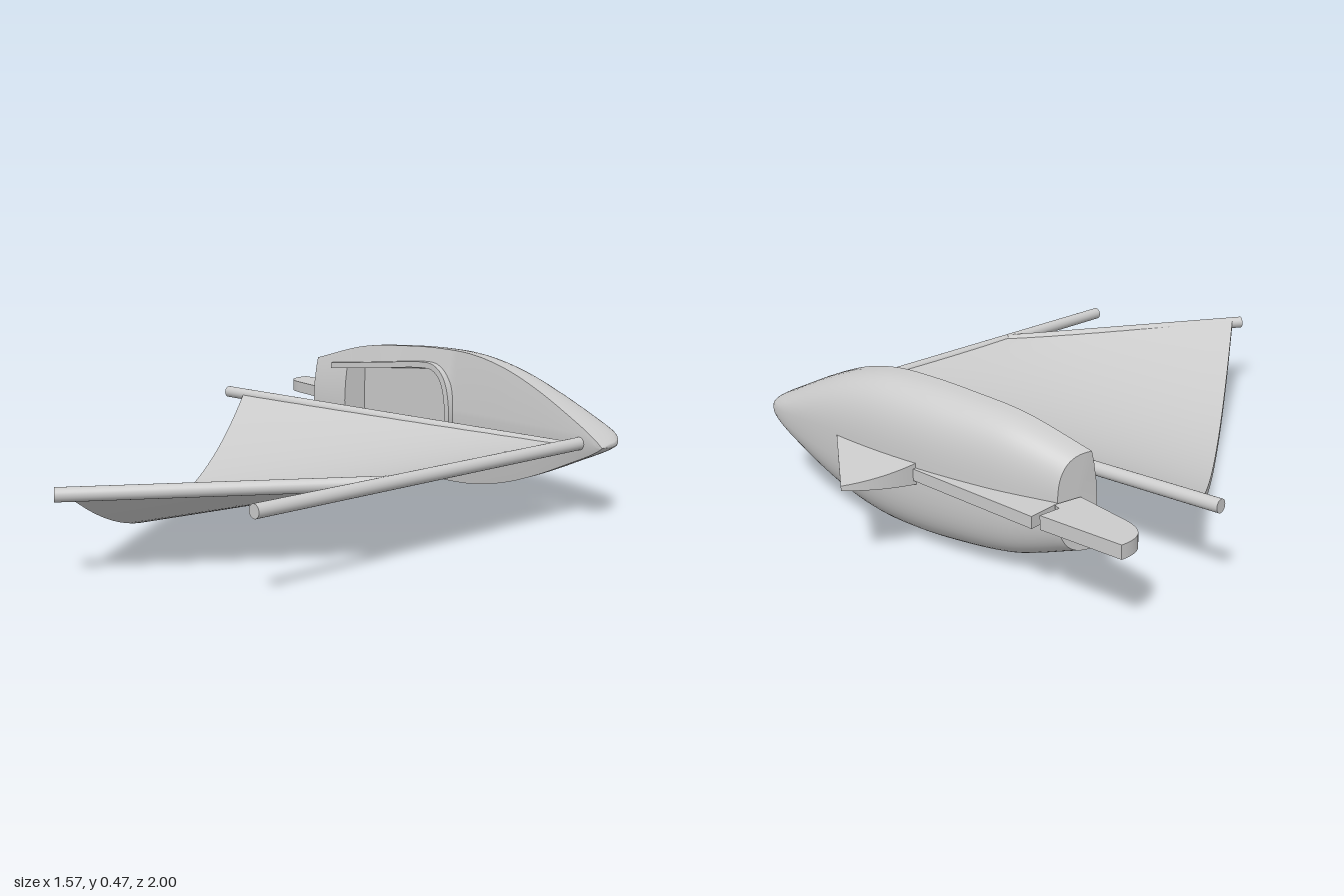
import * as THREE from 'three';
import { toCreasedNormals } from 'three/addons/utils/BufferGeometryUtils.js';

// The boat lies on its side: bow to +x, masthead to +z, centre plane at y = MID.
const MID = 0.243;
const material = new THREE.MeshStandardMaterial({ color: 0xcccccc });
const thin = new THREE.MeshStandardMaterial({ color: 0xcccccc, side: THREE.DoubleSide });

// Smooth lookup table: keys are [x, value...], sampled through a spline
function profile(keys) {
  const pts = new THREE.CatmullRomCurve3(keys.map(([x, a, b = 0]) => new THREE.Vector3(x, a, b)), false, 'centripetal').getPoints(240);
  return x => {
    let i = 1;
    while (i < pts.length - 1 && pts[i].x < x) i++;
    const p = pts[i - 1], q = pts[i];
    const t = THREE.MathUtils.clamp((x - p.x) / (q.x - p.x || 1), 0, 1);
    return p.clone().lerp(q, t);
  };
}

// Closed solid through rings of [x, y, z] points
function loft(rings, crease = 0.6) {
  const n = rings[0].length, last = rings.length - 1;
  const pos = rings.flat(2), index = [];
  for (let i = 0; i < last; i++) for (let j = 0; j < n; j++) {
    const a = i * n + j, b = i * n + (j + 1) % n;
    index.push(a, a + n, b, a + n, b + n, b);
  }
  for (const k of [0, last]) {
    const c = pos.length / 3;
    for (let d = 0; d < 3; d++) pos.push(rings[k].reduce((s, p) => s + p[d], 0) / n);
    for (let j = 0; j < n; j++) {
      const a = k * n + j, b = k * n + (j + 1) % n;
      index.push(c, ...(k ? [b, a] : [a, b]));
    }
  }
  const g = new THREE.BufferGeometry();
  g.setAttribute('position', new THREE.Float32BufferAttribute(pos, 3));
  g.setIndex(index);
  return toCreasedNormals(g, crease);
}

// Hull lines: half breadth and bottom, sheer height, cambered deck
const lines = profile([[-0.51, 0.14, -0.70], [-0.3, 0.2, -0.752], [-0.1, 0.22, -0.787], [0.05, 0.226, -0.802],
  [0.2, 0.22, -0.808], [0.35, 0.19, -0.806], [0.5, 0.137, -0.795], [0.65, 0.07, -0.772], [0.72, 0.038, -0.742],
  [0.765, 0.014, -0.68], [0.785, 0, -0.58]]);
const sheer = profile([[-0.51, -0.595], [-0.3, -0.622], [0.1, -0.645], [0.4, -0.632], [0.65, -0.605], [0.785, -0.58]]);
const deckZ = (x, y) => {
  const b = lines(x).y;
  return sheer(x).y + 0.136 * b * (1 - Math.min(1, (y / (b || 1)) ** 2));
};
// Cockpit half width along x
const cockpit = profile([[-0.42, 0.115], [0, 0.158], [0.05, 0.152], [0.09, 0.125], [0.115, 0.085], [0.13, 0.03]]);
const AFT = -0.36, FORE = 0.13, FLOOR = -0.69;

function hullRing(x, open) {
  const { y: b, z: zb } = lines(x), zs = sheer(x).y, ring = [];
  const rake = 0.025 * THREE.MathUtils.clamp((-0.3 - x) / 0.21, 0, 1);
  for (let j = 0; j <= 28; j++) {
    const a = Math.PI * j / 28, c = Math.cos(a);
    const s = Math.pow(Math.max(0, Math.sin(a)), 0.72);
    ring.push([x + rake * s, MID + b * Math.sign(c) * Math.pow(Math.abs(c), 0.72), zs + (zb - zs) * s]);
  }
  const w = Math.min(cockpit(x).y, b * 0.75), f = open ? w * 0.9 : w;
  const floor = y => open ? FLOOR : deckZ(x, y);
  ring.push([x, MID - w, deckZ(x, w)]);
  for (const k of [-1, -0.5, 0, 0.5, 1]) ring.push([x, MID + k * f, floor(k * f)]);
  ring.push([x, MID + w, deckZ(x, w)]);
  return ring;
}

function hullGeometry() {
  const rings = [];
  const span = (from, to, n, open) => {
    for (let i = 0; i <= n; i++) rings.push(hullRing(from + (to - from) * i / n, open));
  };
  span(-0.51, AFT, 5, false);
  span(AFT, FORE, 22, true);
  span(FORE, 0.7, 20, false);
  span(0.706, 0.785, 14, false);
  return loft(rings);
}

// Horseshoe rim round the cockpit
function coamingGeometry() {
  const half = [[-0.42, 0.122], [-0.2, 0.145], [0, 0.167], [0.05, 0.163], [0.09, 0.138], [0.115, 0.1], [0.13, 0.05]];
  const path = [...half, [0.135, 0], ...half.slice().reverse().map(([x, y]) => [x, -y])];
  const curve = new THREE.CatmullRomCurve3(path.map(([x, y]) => new THREE.Vector3(x, y, 0)), false, 'centripetal');
  const rings = [];
  for (let i = 0; i <= 60; i++) {
    const p = curve.getPoint(i / 60), t = curve.getTangent(i / 60);
    const nx = -t.y * 0.01, ny = t.x * 0.01;
    const top = deckZ(p.x, p.y) + 0.02;
    const at = (s, z) => [p.x + s * nx, MID + p.y + s * ny, z];
    rings.push([at(-1, top), at(1, top), at(1, top - 0.05), at(-1, top - 0.05)]);
  }
  return loft(rings);
}

// Plate in the centre plane, outlined in x and z, with thickness changing along z
function plate(shape, thickness) {
  const g = new THREE.ExtrudeGeometry(shape, { depth: 1, bevelEnabled: false, curveSegments: 16 });
  g.rotateX(Math.PI / 2).translate(0, 0.5, 0);
  const p = g.attributes.position;
  for (let i = 0; i < p.count; i++) p.setY(i, MID + p.getY(i) * thickness(p.getZ(i)));
  g.computeVertexNormals();
  return toCreasedNormals(g, 0.5);
}

// Four-cornered sail, straight along the spars and bellied towards its free edge
function sailGeometry() {
  const rings = [], N = 32, M = 10, mix = THREE.MathUtils.lerp;
  for (let i = 0; i <= N; i++) {
    const v = i / N, belly = 0.231 * 4 * v * (1 - v);
    const at = (u, side) => [
      mix(mix(-0.70, 0.22, v), mix(0.69, 0.68, v), u),
      MID - belly * (1 - u) + side * 0.012,
      mix(mix(-0.40, 0.945, v), mix(-0.51, 0.24, v), u)];
    const ring = [];
    for (let j = 0; j <= M; j++) ring.push(at(j / M, 1));
    for (let j = M; j >= 0; j--) ring.push(at(j / M, -1));
    rings.push(ring);
  }
  return loft(rings);
}

export function createModel() {
  const model = new THREE.Group();
  const add = (name, geometry, mat = material) => {
    const mesh = new THREE.Mesh(geometry, mat);
    mesh.name = name;
    model.add(mesh);
    return mesh;
  };
  // Round spar between two [x, z] points in the centre plane
  const spar = (name, a, b, r = 0.02) => {
    const p = new THREE.Vector3(a[0], MID, a[1]), q = new THREE.Vector3(b[0], MID, b[1]);
    const mesh = add(name, new THREE.CylinderGeometry(r, r, p.distanceTo(q), 24));
    mesh.position.copy(p).lerp(q, 0.5);
    mesh.quaternion.setFromUnitVectors(new THREE.Vector3(0, 1, 0), q.sub(p).normalize());
  };

  add('hull', hullGeometry(), thin);
  add('coaming', coamingGeometry());

  // Keel fin with a curved trailing edge, thinning to its tip
  const keel = new THREE.Shape();
  keel.moveTo(0.34, -0.785);
  keel.lineTo(0.04, -1.0);
  keel.quadraticCurveTo(-0.025, -0.91, -0.03, -0.785);
  add('keel', plate(keel, z => THREE.MathUtils.mapLinear(z, -1, -0.785, 0.014, 0.065)));

  // Skeg under the stern and the rudder behind it
  const skeg = new THREE.Shape([[-0.495, -0.805], [0.05, -0.805], [0.05, -0.77], [-0.3, -0.735], [-0.485, -0.69]]
    .map(p => new THREE.Vector2(...p)));
  add('skeg', plate(skeg, () => 0.035));
  const rudder = new THREE.Shape();
  rudder.moveTo(-0.51, -0.79);
  rudder.lineTo(-0.78, -0.777);
  rudder.bezierCurveTo(-0.79, -0.7, -0.75, -0.67, -0.68, -0.66);
  rudder.lineTo(-0.505, -0.633);
  rudder.lineTo(-0.49, -0.715);
  rudder.lineTo(-0.515, -0.725);
  add('rudder', plate(rudder, () => 0.04));

  spar('mast', [0.69, -0.66], [0.69, 0.705]);
  spar('boom', [-0.785, -0.394], [0.69, -0.511]);
  spar('gaff', [0.213, 0.987], [0.685, 0.235]);
  add('sail', sailGeometry());
  return model;
}
